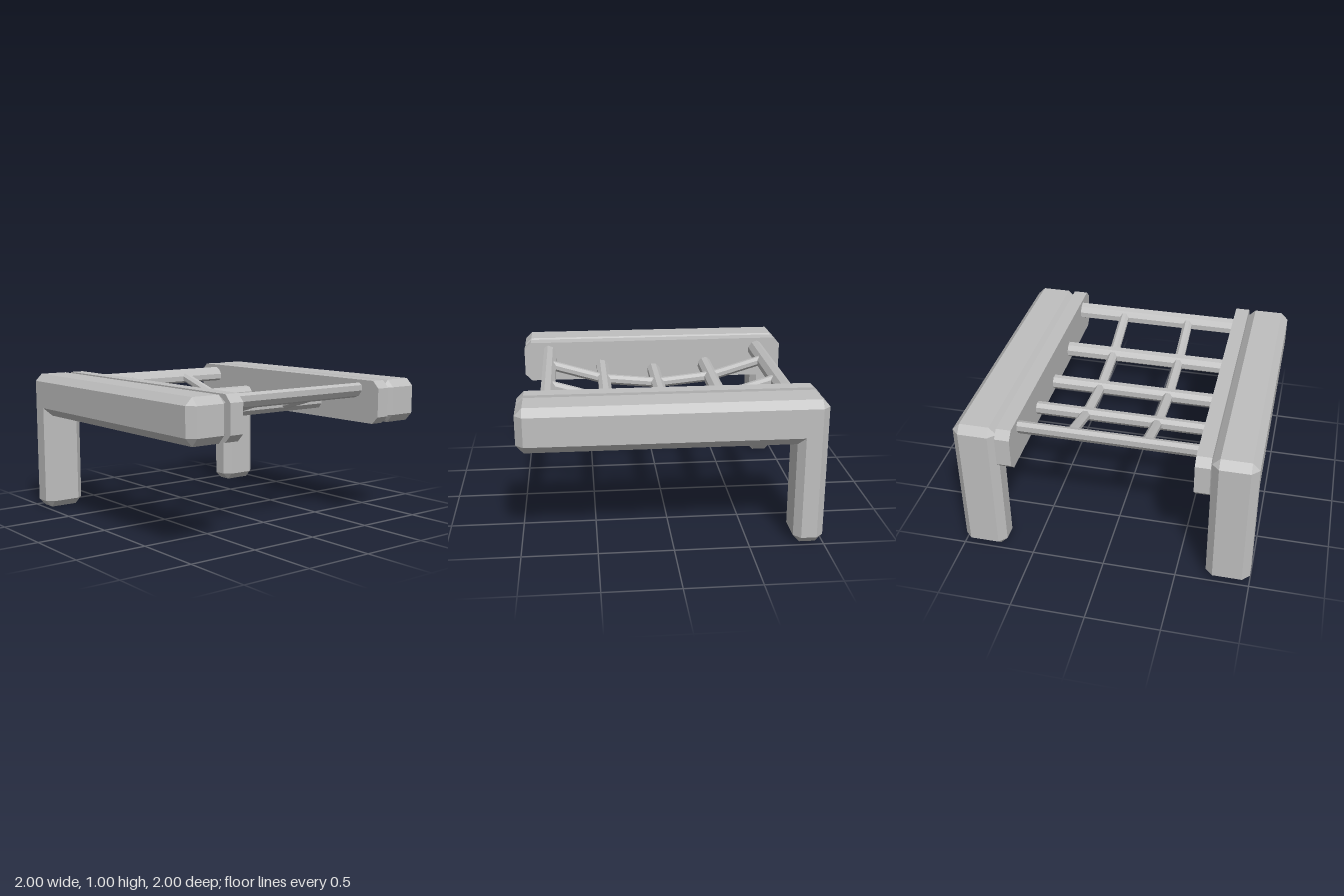
import * as THREE from 'three';

const grey = new THREE.MeshStandardMaterial({ color: 0xbfbfbf, flatShading: true });
grey.name = 'plain grey';

function add(group, name, geometry, x = 0) {
  const mesh = new THREE.Mesh(geometry, grey);
  mesh.name = name;
  mesh.position.x = x;
  group.add(mesh);
}

// L-shaped beam and leg with chamfered edges, built from loops across its width
function beamGeometry() {
  const c = 0.05, half = 0.15;
  // side face corners as [z, y], then the two chamfer points on the outline
  const corners = [
    { face: [0.95, 0.95], rim: [[1, 0.95], [0.95, 1]] },
    { face: [-0.95, 0.95], rim: [[-0.95, 1], [-1, 0.95]] },
    { face: [-0.95, 0.05], rim: [[-1, 0.05], [-0.95, 0]] },
    { face: [-0.845, 0.05], rim: [[-0.845, 0], [-0.8, 0.05]] },
    { face: [-0.845, 0.755], rim: [[-0.8, 0.7], [-0.8, 0.7]] },
    { face: [0.95, 0.755], rim: [[0.95, 0.7], [1, 0.755]] },
  ];
  const inner = corners.flatMap((k) => [k.face, k.face]);
  const outer = corners.flatMap((k) => k.rim);
  const layer = (loop, x) => loop.map(([z, y]) => new THREE.Vector3(x, y, z));
  const layers = [layer(inner, -half), layer(outer, c - half), layer(outer, half - c), layer(inner, half)];

  const points = [];
  const tri = (p, q, r) => {
    if (!p.equals(q) && !q.equals(r) && !p.equals(r)) points.push(p, q, r);
  };
  for (let l = 0; l < 3; l++) {
    const a = layers[l], b = layers[l + 1];
    for (let i = 0; i < a.length; i++) {
      const j = (i + 1) % a.length;
      tri(a[i], b[j], a[j]);
      tri(a[i], b[i], b[j]);
    }
  }
  // flat side faces
  const flat = corners.map((k) => new THREE.Vector2(...k.face));
  for (const [p, q, r] of THREE.ShapeUtils.triangulateShape(flat, [])) {
    tri(layers[0][2 * p], layers[0][2 * q], layers[0][2 * r]);
    tri(layers[3][2 * r], layers[3][2 * q], layers[3][2 * p]);
  }
  const geometry = new THREE.BufferGeometry().setFromPoints(points);
  geometry.computeVertexNormals();
  return geometry;
}

// Thin side plank with cut corners
function plankGeometry() {
  const outline = [[1, 0.95], [0.95, 1], [-0.95, 1], [-1, 0.95], [-1, 0.75], [-0.95, 0.7], [0.95, 0.7], [1, 0.75]];
  const shape = new THREE.Shape(outline.map(([z, y]) => new THREE.Vector2(z, y)));
  return new THREE.ExtrudeGeometry(shape, { depth: 0.1, bevelEnabled: false })
    .translate(0, 0, -0.05)
    .rotateY(-Math.PI / 2);
}

// Lowers every vertex onto the sagging curve of the rack
function sag(geometry) {
  const p = geometry.attributes.position;
  for (let i = 0; i < p.count; i++) p.setY(i, p.getY(i) + 0.765 + 0.25 * p.getZ(i) ** 2);
  geometry.computeVertexNormals();
  return geometry;
}

const octagonRod = (radius, length) =>
  new THREE.CylinderGeometry(radius, radius, length, 8).rotateY(Math.PI / 8);

export function createModel() {
  const model = new THREE.Group();
  model.name = 'rack';

  for (const side of [-1, 1]) {
    add(model, 'beamWithLeg', beamGeometry(), side * 0.85);
    add(model, 'sidePlank', plankGeometry(), side * 0.65);
  }

  // rungs between the planks
  for (let i = 0; i < 5; i++) {
    const z = -0.8 + 0.4 * i;
    add(model, 'rung', sag(octagonRod(0.05, 1.2).rotateZ(Math.PI / 2).translate(0, 0, z)));
  }

  // short struts joining neighbouring rungs
  for (const x of [-0.25, 0.25]) {
    for (let i = 0; i < 4; i++) {
      const z = -0.6 + 0.4 * i;
      add(model, 'strut', sag(octagonRod(0.037, 0.4).rotateX(Math.PI / 2).translate(0, 0, z)), x);
    }
  }
  return model;
}
